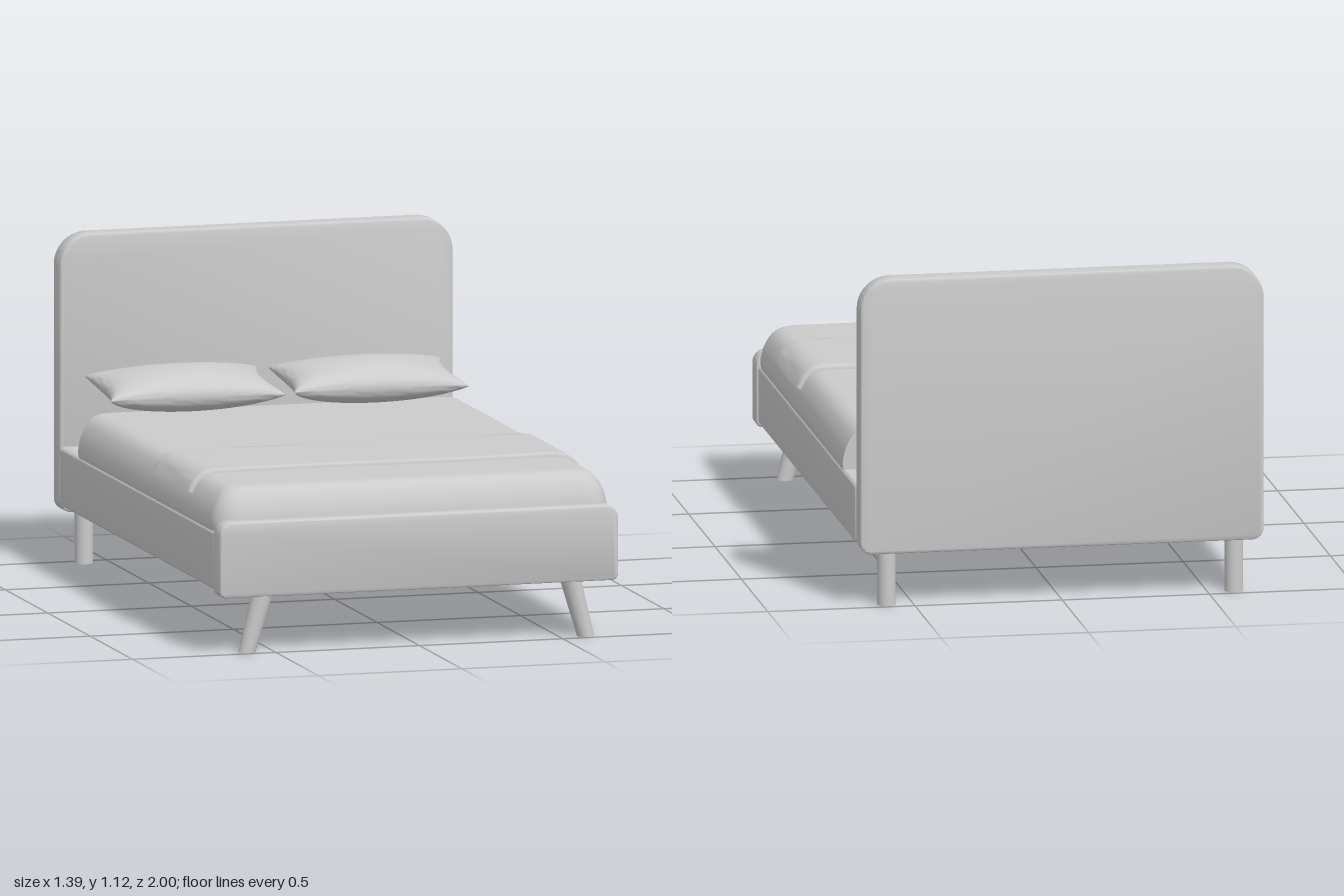
import * as THREE from 'three';
import { mergeGeometries, toCreasedNormals } from 'three/addons/utils/BufferGeometryUtils.js';

const material = new THREE.MeshStandardMaterial({ color: 0xcccccc });
const clothMaterial = new THREE.MeshStandardMaterial({ color: 0xcccccc, side: THREE.DoubleSide });

function add(parent, name, geometry, mat = material) {
  const mesh = new THREE.Mesh(geometry, mat);
  mesh.name = name;
  parent.add(mesh);
  return mesh;
}

// Rectangle with separate radii for its upper and lower corners
function roundedRect(x0, y0, x1, y1, rTop, rLow) {
  const s = new THREE.Shape();
  s.absarc(x1 - rLow, y0 + rLow, rLow, -Math.PI / 2, 0);
  s.absarc(x1 - rTop, y1 - rTop, rTop, 0, Math.PI / 2);
  s.absarc(x0 + rTop, y1 - rTop, rTop, Math.PI / 2, Math.PI);
  s.absarc(x0 + rLow, y0 + rLow, rLow, Math.PI, Math.PI * 1.5);
  s.closePath();
  return s;
}

// Slab with softened edges, occupying 0..depth along z
function slab(shape, depth, bevel) {
  const g = new THREE.ExtrudeGeometry(shape, {
    depth: depth - 2 * bevel, bevelSize: bevel, bevelThickness: bevel,
    bevelOffset: -bevel, bevelSegments: 4, curveSegments: 12,
  });
  g.translate(0, 0, bevel);
  return toCreasedNormals(g, 0.6);
}

// Slab lying flat, its shape drawn in x and -z, from y up to y + height
function flatSlab(shape, y, height, bevel) {
  return slab(shape, height, bevel).rotateX(-Math.PI / 2).translate(0, y, 0);
}

// Surface through a grid of points given by f(i, j)
function sheet(nu, nv, f, flip = false) {
  const pos = [], index = [];
  for (let j = 0; j <= nv; j++) for (let i = 0; i <= nu; i++) pos.push(...f(i, j));
  for (let j = 0; j < nv; j++) for (let i = 0; i < nu; i++) {
    const a = j * (nu + 1) + i, b = a + 1, c = a + nu + 1, d = c + 1;
    index.push(...(flip ? [a, c, b, b, c, d] : [a, b, c, b, d, c]));
  }
  const g = new THREE.BufferGeometry();
  g.setAttribute('position', new THREE.Float32BufferAttribute(pos, 3));
  g.setIndex(index);
  g.computeVertexNormals();
  return g;
}

// Edge profile of the duvet: inset from the side against height
const edge = new THREE.SplineCurve([
  [0.004, 0.4], [0, 0.425], [0.007, 0.465], [0.021, 0.5], [0.042, 0.53], [0.07, 0.546], [0.105, 0.55],
].map(([x, y]) => new THREE.Vector2(x, y)));

function duvetGeometry() {
  const rows = 18, arc = 10;
  const outline = (d) => {
    const w = 0.69 - d, f = 0.95 - d, r = 0.085 - d * 0.5, back = -0.69;
    const pts = [[0, back], [w, back]];
    for (let k = 0; k <= arc; k++) {
      const a = (k / arc) * Math.PI / 2;
      pts.push([w - r + r * Math.cos(a), f - r + r * Math.sin(a)]);
    }
    for (let k = pts.length - 1; k >= 0; k--) pts.push([-pts[k][0], pts[k][1]]);
    return pts;
  };
  const n = outline(0).length - 1;
  // The last row folds the flat top in to the centre line
  return toCreasedNormals(sheet(n, rows + 1, (i, j) => {
    const p = edge.getPoint(Math.min(j / rows, 1));
    const [x, z] = outline(p.x)[i];
    return [j > rows ? 0 : x, p.y, z];
  }, true), 0.6);
}

function blanketGeometry() {
  // Cross-section follows the duvet, lying slightly outside it
  const side = [];
  for (let k = 0; k <= 14; k++) {
    const t = 0.42 + 0.58 * k / 14, p = edge.getPoint(t), q = edge.getTangent(t);
    side.push({ x: 0.69 - p.x, y: p.y, nx: q.y, ny: q.x });
  }
  const section = [side[0], ...side];
  for (let k = 1; k < 24; k++) section.push({ x: 0.585 * (1 - k / 12), y: 0.55, nx: 0, ny: 1 });
  for (const p of [...side].reverse()) section.push({ ...p, x: -p.x, nx: -p.nx });
  section.push(section[section.length - 1]);
  const n = section.length - 1;
  // Rounded hems: [distance in from the edge, lift]
  const hem = [[0, -0.01], [0, 0.007], [0.004, 0.012], [0.012, 0.014]];
  const rows = 24;
  return toCreasedNormals(sheet(n, rows, (i, j) => {
    const p = section[i];
    const back = 0.173 + 0.005 * Math.cos(p.x * 7 + 2);
    const front = 0.604 + 0.008 * Math.sin(p.x * 6);
    const m = Math.min(j, rows - j), h = hem[Math.min(m, 3)];
    let z = j < 4 ? back + h[0] : front - h[0];
    if (m > 3) z = THREE.MathUtils.lerp(back + 0.012, front - 0.012, (j - 3) / (rows - 6));
    const lift = i === 0 || i === n ? -0.01 : h[1];
    const sag = 0.004 * Math.sin(z * 14) * (p.y < 0.52 ? 1 : 0);
    return [p.x + p.nx * lift, p.y + p.ny * lift + sag, z];
  }, true), 0.9);
}

function pillowGeometry() {
  const n = 28;
  const half = (s) => sheet(n, n, (i, j) => {
    const u = Math.sin((i / n - 0.5) * Math.PI), v = Math.sin((j / n - 0.5) * Math.PI);
    const puff = Math.sqrt(Math.max(0, (1 - u * u) * (1 - v * v)));
    // Sides draw in between the corners
    const x = 0.302 * u * (1 - 0.085 * (1 - v * v)) - 0.004 * v * u * u;
    const z = 0.178 * v * (1 - 0.13 * (1 - u * u)) + 0.008 * u * v * v * v;
    const y = s * 0.072 * Math.pow(puff, 0.85) + 0.008 * u * u * v * v;
    return [x, y, z];
  }, s > 0);
  return toCreasedNormals(mergeGeometries([half(1), half(-1)]), 0.9);
}

export function createModel() {
  const bed = new THREE.Group();
  bed.name = 'bed';

  // Upright boards
  add(bed, 'headboard', slab(roundedRect(-0.685, 0.18, 0.685, 1.12, 0.11, 0.04), 0.08, 0.008)).position.z = -1;
  add(bed, 'footboard', slab(roundedRect(-0.695, 0.19, 0.695, 0.445, 0.045, 0.022), 0.08, 0.008)).position.z = 0.92;

  // Hollow rail frame closed by a base
  const rails = roundedRect(-0.69, -0.92, 0.69, 0.92, 0.02, 0.02);
  rails.holes.push(new THREE.Path([[-0.64, -0.87], [-0.64, 0.87], [0.64, 0.87], [0.64, -0.87]]
    .map(([x, y]) => new THREE.Vector2(x, y))));
  add(bed, 'railFrame', flatSlab(rails, 0.205, 0.2, 0.012));
  add(bed, 'base', new THREE.BoxGeometry(1.3, 0.1, 1.78)).position.y = 0.257;

  // Bedding
  add(bed, 'mattress', flatSlab(roundedRect(-0.632, -0.85, 0.632, 0.916, 0.13, 0.06), 0.3, 0.195, 0.022));
  add(bed, 'duvet', duvetGeometry(), clothMaterial);
  add(bed, 'blanket', blanketGeometry(), clothMaterial);
  const pillow = pillowGeometry();
  for (const [name, x] of [['rightPillow', -0.333], ['leftPillow', 0.307]]) {
    const mesh = add(bed, name, pillow, clothMaterial);
    mesh.position.set(x, 0.633, -0.645);
    mesh.rotation.x = 0.1;
  }

  // Splayed front legs and straight rear legs
  for (const s of [-1, 1]) {
    const leg = new THREE.CylinderGeometry(0.036, 0.029, 0.2, 24);
    const p = leg.attributes.position;
    for (let i = 0; i < p.count; i++) p.setX(i, p.getX(i) + s * (0.563 - p.getY(i) * 0.27));
    leg.translate(0, 0.1, 0.962);
    leg.computeVertexNormals();
    add(bed, s > 0 ? 'leftFrontLeg' : 'rightFrontLeg', leg);
    add(bed, s > 0 ? 'leftRearLeg' : 'rightRearLeg', new THREE.CylinderGeometry(0.031, 0.031, 0.2, 24))
      .position.set(s * 0.59, 0.1, -0.96);
  }
  return bed;
}
